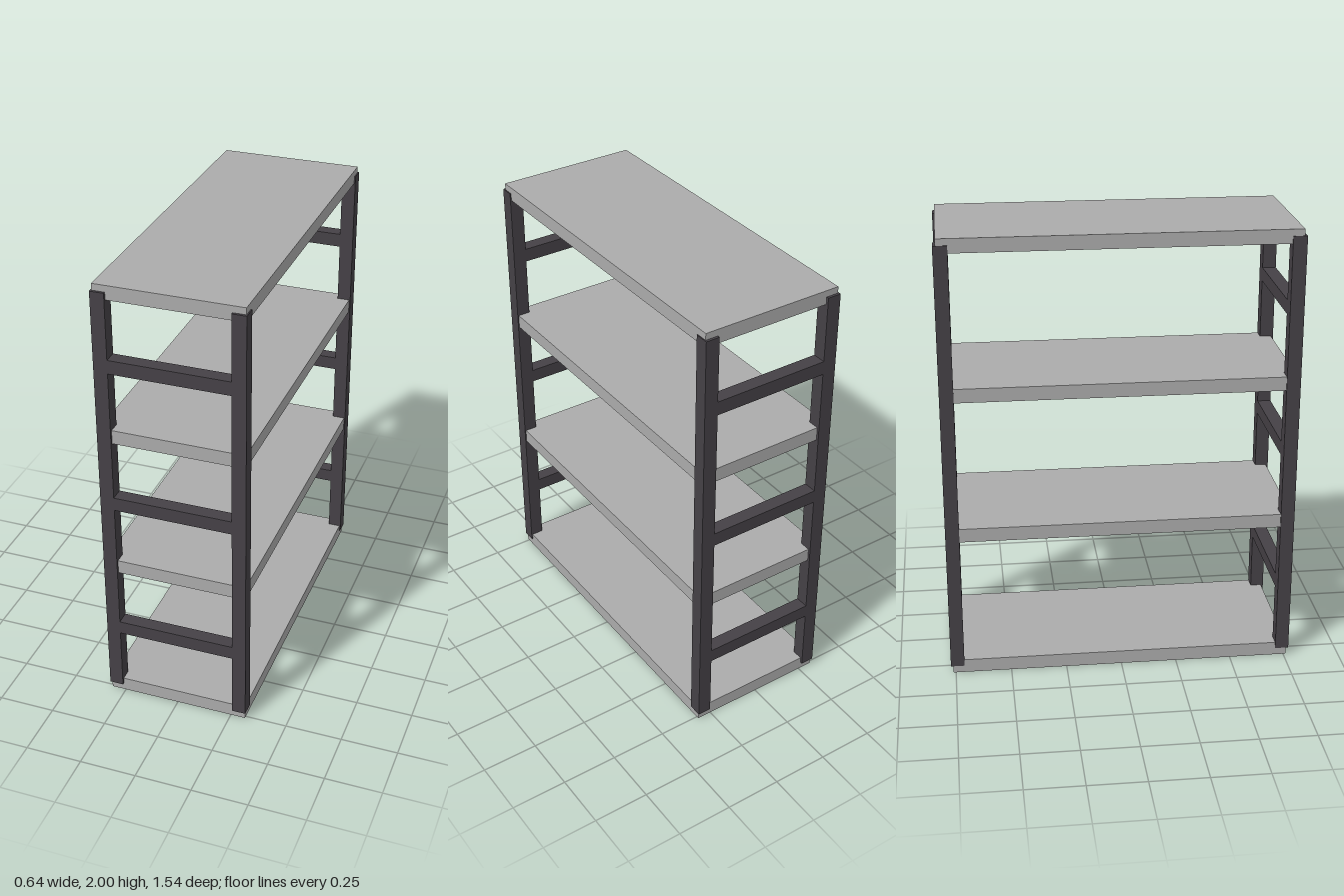
import * as THREE from 'three';

export function createModel() {
  const group = new THREE.Group();
  const shelfGrey = new THREE.MeshStandardMaterial({ color: 0xababab });
  shelfGrey.name = 'shelfGrey';
  const frameDark = new THREE.MeshStandardMaterial({ color: 0x454146 });
  frameDark.name = 'frameDark';

  const addBox = (name, size, position, material) => {
    const mesh = new THREE.Mesh(new THREE.BoxGeometry(...size), material);
    mesh.name = name;
    mesh.position.set(...position);
    group.add(mesh);
  };

  const bar = 0.061; // square section of posts and rungs
  const outerX = 0.32, outerZ = 0.772;
  const postX = outerX - bar / 2, postZ = outerZ - bar / 2;

  // Four evenly spaced shelf boards
  for (let i = 0; i < 4; i++) {
    addBox('shelf', [0.63, 0.062, 1.522], [0, 0.032 + i * 0.6455, 0], shelfGrey);
  }

  // Ladder frame at each end: two posts and three rungs
  for (const z of [-postZ, postZ]) {
    for (const x of [-postX, postX]) {
      addBox('post', [bar, 1.935, bar], [x, 1.003, z], frameDark);
    }
    for (let i = 0; i < 3; i++) {
      addBox('rung', [2 * (outerX - bar), bar, bar], [0, 0.358 + i * 0.646, z], frameDark);
    }
  }

  // Rest the lowest board on the ground
  group.children.forEach((part) => { part.position.y -= 0.001; });
  return group;
}
